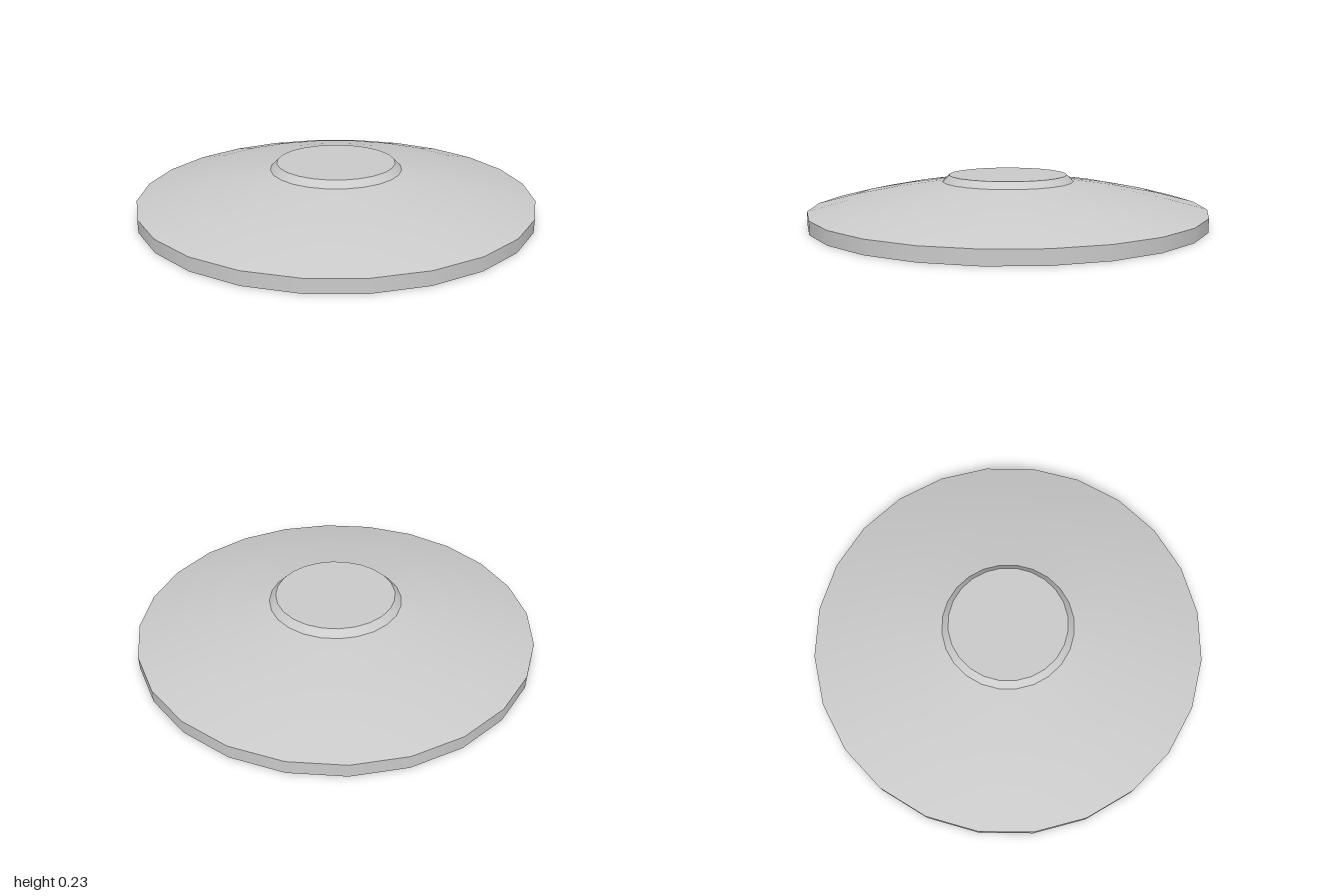
import * as THREE from 'three';

const SIDES = 24;

export function createModel() {
  const group = new THREE.Group();
  group.name = 'domedDisc';
  const material = new THREE.MeshStandardMaterial({ color: 0xcccccc });

  // Each band is smooth in itself and meets its neighbours at a sharp edge
  const addBand = (name, profile) => {
    const points = profile.map(([r, y]) => new THREE.Vector2(r, y));
    const mesh = new THREE.Mesh(new THREE.LatheGeometry(points, SIDES), material);
    mesh.name = name;
    group.add(mesh);
  };

  // Underside: recessed floor, its wall and the flat standing ring
  addBand('recessFloor', [[0, 0.067], [0.867, 0.067]]);
  addBand('recessWall', [[0.867, 0.067], [0.867, 0]]);
  addBand('bottomRing', [[0.867, 0], [1, 0]]);

  // Outside: upright rim and shallow dome
  addBand('rim', [[1, 0], [1, 0.067]]);
  addBand('dome', [[1, 0.067], [0.8, 0.119], [0.573, 0.164], [0.333, 0.2]]);

  // Raised button with a bevelled edge
  addBand('buttonBevel', [[0.333, 0.2], [0.3, 0.233]]);
  addBand('buttonTop', [[0.3, 0.233], [0, 0.233]]);

  return group;
}
